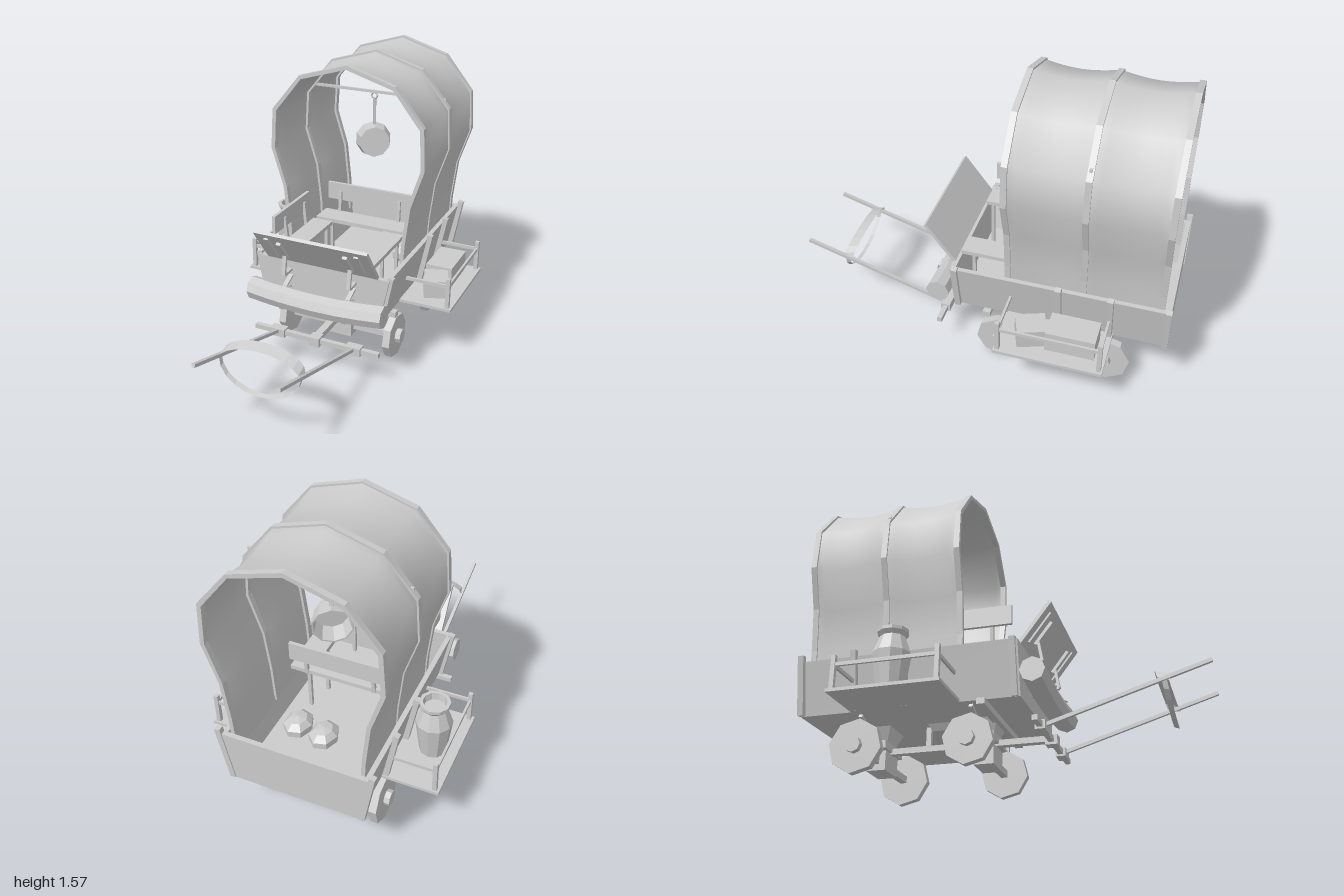
import * as THREE from 'three';

const flat = new THREE.MeshStandardMaterial({ color: 0xcccccc, flatShading: true, side: THREE.DoubleSide });
const smooth = new THREE.MeshStandardMaterial({ color: 0xcccccc, side: THREE.DoubleSide });

export function createModel() {
  const root = new THREE.Group();
  root.name = 'coveredWagon';
  const V = (x, y, z) => new THREE.Vector3(x, y, z);

  function add(name, geo, x = 0, y = 0, z = 0, mat = flat) {
    const m = new THREE.Mesh(geo, mat);
    m.name = name;
    m.position.set(x, y, z);
    root.add(m);
    return m;
  }
  const box = (name, w, h, d, x, y, z) => add(name, new THREE.BoxGeometry(w, h, d), x, y, z);
  // square beam between two points
  function bar(name, a, b, w = 0.02, h = w) {
    const m = add(name, new THREE.BoxGeometry(w, h, a.distanceTo(b)));
    m.position.copy(a).lerp(b, 0.5);
    m.lookAt(b);
    return m;
  }
  // outline in x/y pushed along z from z0
  function slab(name, pts, z0, depth, hole) {
    const shape = new THREE.Shape(pts.map(p => new THREE.Vector2(...p)));
    if (hole) shape.holes.push(new THREE.Path(hole.map(p => new THREE.Vector2(...p))));
    return add(name, new THREE.ExtrudeGeometry(shape, { depth, bevelEnabled: false }), 0, 0, z0);
  }
  const mirrorX = half => [...half, ...half.filter(p => p[0] !== 0).reverse().map(([x, y]) => [-x, y])];

  // Wagon bed: flared sides, floor, end boards
  slab('bedSidesAndFloor', [[-0.32, 0.31], [0.32, 0.31], [0.375, 0.58], [0.35, 0.58], [0.30, 0.335],
    [-0.30, 0.335], [-0.35, 0.58], [-0.375, 0.58]], -0.98, 1.1);
  const endBoard = [[-0.32, 0.31], [0.32, 0.31], [0.375, 0.58], [-0.375, 0.58]];
  slab('frontBoard', endBoard, 0.1, 0.025);
  slab('tailgate', endBoard, -0.99, 0.025);
  for (const s of [-1, 1]) {
    for (const z of [-0.44, -0.7, -0.98])
      bar('sideStake', V(s * 0.335, 0.31, z), V(s * 0.39, 0.605, z), 0.03);
    bar('frontCornerPost', V(s * 0.325, 0.31, 0.1), V(s * 0.378, 0.59, 0.1), 0.03);
  }

  // Canopy hoops and sagging cloth
  const arch = [[0.335, 0.45], [0.345, 0.65], [0.37, 0.87], [0.438, 1.08], [0.425, 1.3], [0.265, 1.495], [0, 1.575]];
  const inner = [[0.315, 0.45], [0.325, 0.65], [0.35, 0.87], [0.416, 1.08], [0.404, 1.29], [0.255, 1.477], [0, 1.553]];
  const ring = mirrorX(arch), ringIn = mirrorX(inner);
  for (const z of [-0.185, -0.57, -0.955])
    slab('canopyHoop', [...ring, ...ringIn.slice().reverse()], z, 0.03);
  const pos = [], idx = [], steps = 16, n = ring.length;
  for (let i = 0; i <= steps; i++) {
    const t = i / steps, sag = Math.abs(Math.sin(t * 2 * Math.PI));
    for (const [x, y] of ring)
      pos.push(x * (0.985 - 0.045 * sag), 0.55 + (y - 0.55) * (0.993 - 0.02 * sag), -0.17 - 0.77 * t);
  }
  for (let i = 0; i < steps; i++) for (let j = 0; j < n - 1; j++) {
    const a = i * n + j, b = a + n;
    idx.push(a, b, a + 1, a + 1, b, b + 1);
  }
  const cloth = new THREE.BufferGeometry();
  cloth.setAttribute('position', new THREE.Float32BufferAttribute(pos, 3));
  cloth.setIndex(idx);
  cloth.computeVertexNormals();
  add('canopyCloth', cloth, 0, 0, 0, smooth);

  // Crossbar with hanging pan
  bar('crossbar', V(-0.4, 1.342, -0.555), V(0.4, 1.342, -0.555), 0.014);
  add('panHook', new THREE.TorusGeometry(0.017, 0.005, 4, 8), -0.01, 1.32, -0.555);
  bar('panHandle', V(-0.01, 1.31, -0.555), V(-0.015, 1.14, -0.575), 0.018, 0.008);
  const pan = add('pan', new THREE.LatheGeometry([[0, 0.045], [0.084, 0.045], [0.1, -0.045], [0.092, -0.045],
    [0.077, 0.035], [0, 0.035]].map(p => new THREE.Vector2(...p)), 10), -0.01, 1.06, -0.56);
  pan.rotation.set(Math.PI / 2 - 0.1, 0, -0.5);

  // Tilted footboard with brackets
  const foot = box('footboard', 0.63, 0.25, 0.018, 0, 0.685, 0.195);
  foot.rotation.x = 0.65;
  for (const s of [-1, 1]) {
    bar('footboardBatten', V(s * 0.25, 0.605, 0.15), V(s * 0.25, 0.75, 0.26), 0.025, 0.012);
    bar('footboardBracket', V(s * 0.185, 0.73, 0.25), V(s * 0.185, 0.62, 0.165), 0.025, 0.018);
    bar('footboardBracket', V(s * 0.185, 0.64, 0.18), V(s * 0.185, 0.53, 0.2), 0.022, 0.014);
    bar('footboardBracket', V(s * 0.185, 0.53, 0.2), V(s * 0.185, 0.53, 0.11), 0.022, 0.014);
  }

  // Benches along the sides and across the middle
  for (const s of [-1, 1]) {
    box('sideBench', 0.12, 0.022, 0.42, s * 0.215, 0.62, -0.115);
    for (const z of [0.06, -0.28]) bar('benchLeg', V(s * 0.17, 0.335, z), V(s * 0.17, 0.61, z), 0.018);
  }
  box('sideBackrest', 0.018, 0.1, 0.4, -0.305, 0.74, -0.12);
  for (const z of [-0.025, -0.25]) bar('backrestPost', V(-0.28, 0.61, z), V(-0.295, 0.75, z), 0.018);
  box('crossBench', 0.54, 0.022, 0.13, 0, 0.62, -0.42);
  box('crossBackrest', 0.52, 0.1, 0.018, 0, 0.745, -0.5);
  for (const s of [-1, 1]) {
    bar('backrestPost', V(s * 0.18, 0.61, -0.48), V(s * 0.18, 0.75, -0.49), 0.018);
    bar('benchLeg', V(s * 0.2, 0.335, -0.42), V(s * 0.2, 0.61, -0.42), 0.018);
  }
  // Sacks on the floor
  for (const [x, z] of [[0.17, -0.62], [0.02, -0.64]]) {
    const sack = add('sack', new THREE.SphereGeometry(0.085, 7, 5), x, 0.385, z);
    sack.scale.set(0.9, 0.65, 1.1);
  }

  // Bedroll strapped to the front, drooping in the middle
  const roll = new THREE.CylinderGeometry(0.062, 0.062, 0.76, 8, 6);
  roll.rotateZ(Math.PI / 2);
  const rp = roll.attributes.position;
  for (let i = 0; i < rp.count; i++) rp.setY(i, rp.getY(i) - 0.025 * (1 - (rp.getX(i) / 0.38) ** 2));
  add('bedroll', roll, 0, 0.415, 0.195);
  for (const s of [-1, 1]) {
    const strap = add('bedrollStrap', new THREE.CylinderGeometry(0.069, 0.069, 0.026, 8, 1, true), s * 0.18, 0.4, 0.195);
    strap.rotation.z = Math.PI / 2;
    bar('strapEnd', V(s * 0.18, 0.465, 0.2), V(s * 0.18, 0.5, 0.12), 0.024, 0.01);
  }

  // Side shelves with railings
  for (const s of [-1, 1]) {
    box('sideShelf', 0.29, 0.016, 0.55, s * 0.465, 0.316, -0.445);
    for (const z of [-0.19, -0.7]) {
      bar('shelfPost', V(s * 0.585, 0.32, z), V(s * 0.585, 0.495, z), 0.022);
      bar('shelfRail', V(s * 0.34, 0.45, z), V(s * 0.585, 0.45, z), 0.012, 0.018);
    }
    bar('shelfRail', V(s * 0.585, 0.45, -0.19), V(s * 0.585, 0.45, -0.7), 0.012, 0.018);
  }
  box('largeCrate', 0.15, 0.115, 0.25, 0.455, 0.38, -0.54);
  const crate = box('smallCrate', 0.13, 0.1, 0.15, 0.47, 0.375, -0.33);
  crate.rotation.y = 0.35;

  // Water barrel
  add('barrel', new THREE.LatheGeometry([[0, 0.32], [0.068, 0.32], [0.093, 0.515], [0.062, 0.6], [0.077, 0.62],
    [0.077, 0.637], [0.06, 0.637], [0.055, 0.6], [0, 0.6]].map(p => new THREE.Vector2(...p)), 10), -0.485, 0, -0.455);

  // Wheels, axles and bolsters
  for (const [z, r] of [[-0.125, 0.124], [-0.685, 0.135]]) {
    const y = r * 0.99 + 0.003;
    for (const s of [-1, 1]) {
      const wheel = add('wheel', new THREE.CylinderGeometry(r, r, 0.04, 8).rotateY(Math.PI / 8 + 0.25).rotateZ(Math.PI / 2), s * 0.313, y, z);
      wheel.name = z > -0.4 ? 'frontWheel' : 'rearWheel';
      add('hub', new THREE.CylinderGeometry(0.04, 0.04, 0.055, 8).rotateZ(Math.PI / 2), s * 0.335, y, z);
    }
    box('axle', 0.64, 0.035, 0.035, 0, y, z);
    box('axleBlock', 0.155, 0.1, 0.1, 0, y, z);
    box('bolsterPlate', 0.22, 0.04, 0.12, 0, 0.21, z);
    const bolster = add('bolster', new THREE.CylinderGeometry(0.13, 0.07, 0.09, 4).rotateY(Math.PI / 4), 0, 0.268, z);
    bolster.scale.z = 0.8;
    for (const s of [-1, 1]) bar('bolsterBrace', V(s * 0.09, 0.215, z), V(s * 0.29, 0.3, z), 0.02, 0.016);
  }
  box('underBeam', 0.7, 0.03, 0.04, 0, 0.295, -0.06);
  add('underBlock', new THREE.CylinderGeometry(0.09, 0.06, 0.035, 4).rotateY(Math.PI / 4), 0, 0.293, -0.36);
  bar('reachPost', V(0, 0.19, -0.435), V(0, 0.31, -0.435), 0.025);
  bar('reachPole', V(0, 0.195, 0.22), V(0, 0.195, -0.7), 0.04, 0.03);

  // Draw bar and shafts
  bar('drawBar', V(-0.36, 0.187, 0.2), V(0.36, 0.187, 0.2), 0.026);
  box('drawBarClamp', 0.06, 0.05, 0.06, 0, 0.187, 0.2);
  for (const s of [-1, 1]) {
    box('shaftClamp', 0.085, 0.045, 0.05, s * 0.22, 0.187, 0.2);
    bar('shaft', V(s * 0.22, 0.187, 0.19), V(s * 0.22, 0.435, 0.997), 0.018);
  }

  // Harness loop: wide ribbon above the shafts, narrow strap below
  function ribbon(name, rise, width, z0, z1) {
    const p = [], f = [];
    for (let i = 0; i <= 10; i++) {
      const a = Math.PI * i / 10, y = 0.365 + rise * Math.sin(a), x = 0.22 * Math.cos(a);
      const z = z0 + (z1 - z0) * Math.sin(a);
      p.push(x, y - width * 0.15, z + width / 2, x, y + width * 0.15, z - width / 2);
      if (i < 10) f.push(2 * i, 2 * i + 1, 2 * i + 2, 2 * i + 2, 2 * i + 1, 2 * i + 3);
    }
    const g = new THREE.BufferGeometry();
    g.setAttribute('position', new THREE.Float32BufferAttribute(p, 3));
    g.setIndex(f);
    g.computeVertexNormals();
    add(name, g);
  }
  ribbon('harnessCollar', 0.085, 0.06, 0.775, 0.75);
  ribbon('bellyStrap', -0.15, 0.025, 0.775, 0.795);

  return root;
}
